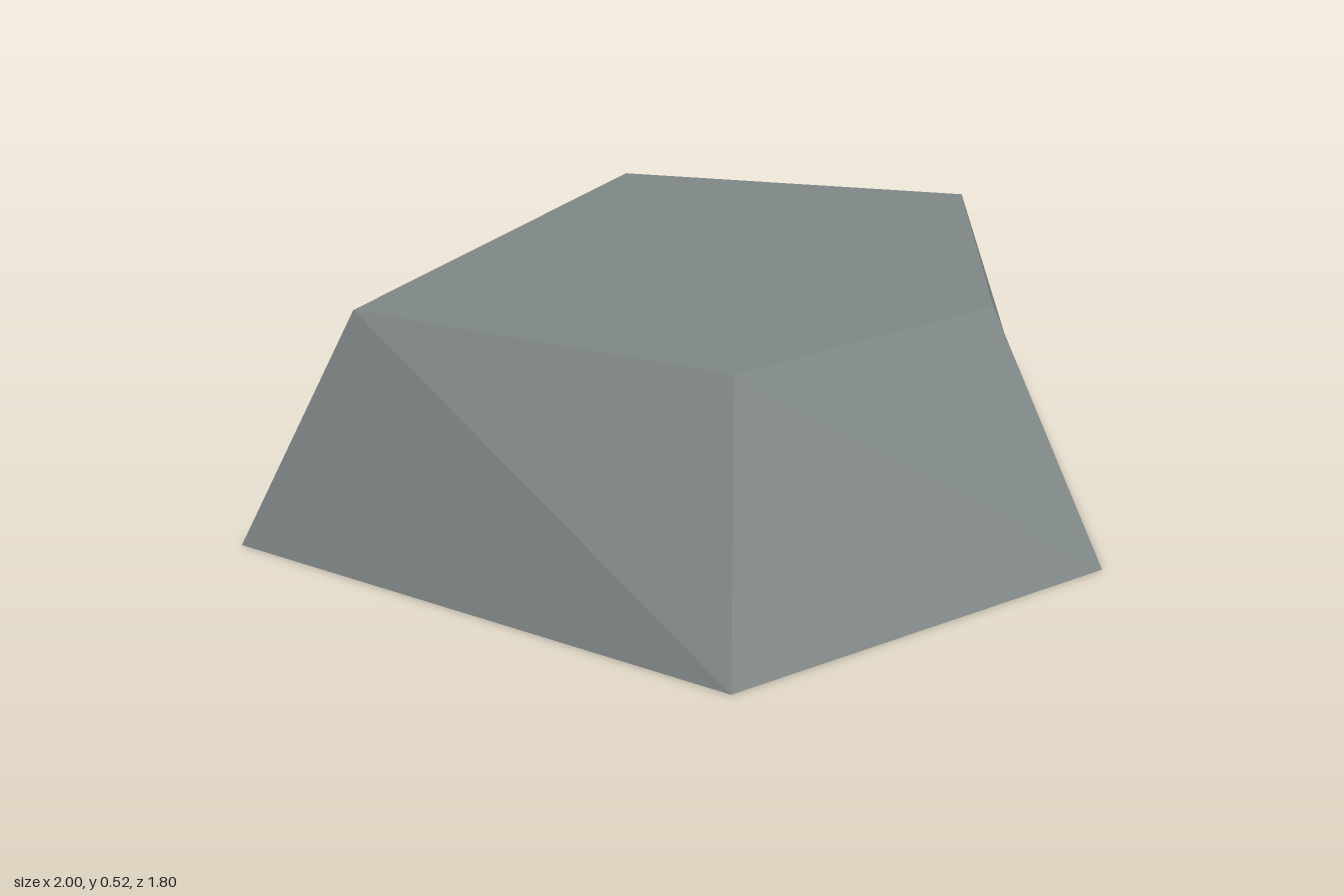
import * as THREE from 'three';

const HEIGHT = 0.52;

// Corner rings as [x, z], clockwise seen from above
const baseRing = [[-1, -0.43], [0.36, -0.905], [1, 0.035], [0.19, 0.9], [-0.71, 0.735]];
const topRing = [[-0.81, -0.245], [0.27, -0.63], [0.715, 0.07], [0.125, 0.64], [-0.52, 0.55]];

// Flat-shaded fan over a convex face
function faceGeometry(corners) {
  const points = [];
  for (let i = 1; i < corners.length - 1; i++) {
    points.push(...corners[0], ...corners[i], ...corners[i + 1]);
  }
  const geometry = new THREE.BufferGeometry();
  geometry.setAttribute('position', new THREE.Float32BufferAttribute(points, 3));
  geometry.computeVertexNormals();
  return geometry;
}

export function createModel() {
  const model = new THREE.Group();
  model.name = 'rock';

  const stone = new THREE.MeshStandardMaterial({ color: 0x7f8786, side: THREE.DoubleSide, flatShading: true });
  stone.name = 'stone grey';

  const base = baseRing.map(([x, z]) => [x, 0, z]);
  const top = topRing.map(([x, z]) => [x, HEIGHT, z]);

  function addFace(name, corners) {
    const mesh = new THREE.Mesh(faceGeometry(corners), stone);
    mesh.name = name;
    model.add(mesh);
  }

  // Sloping sides around a hollow, open-bottomed shell
  base.forEach((corner, i) => {
    const next = (i + 1) % base.length;
    addFace(`side${i + 1}`, [corner, top[i], top[next], base[next]]);
  });

  // Flat top
  addFace('top', [...top].reverse());

  return model;
}
